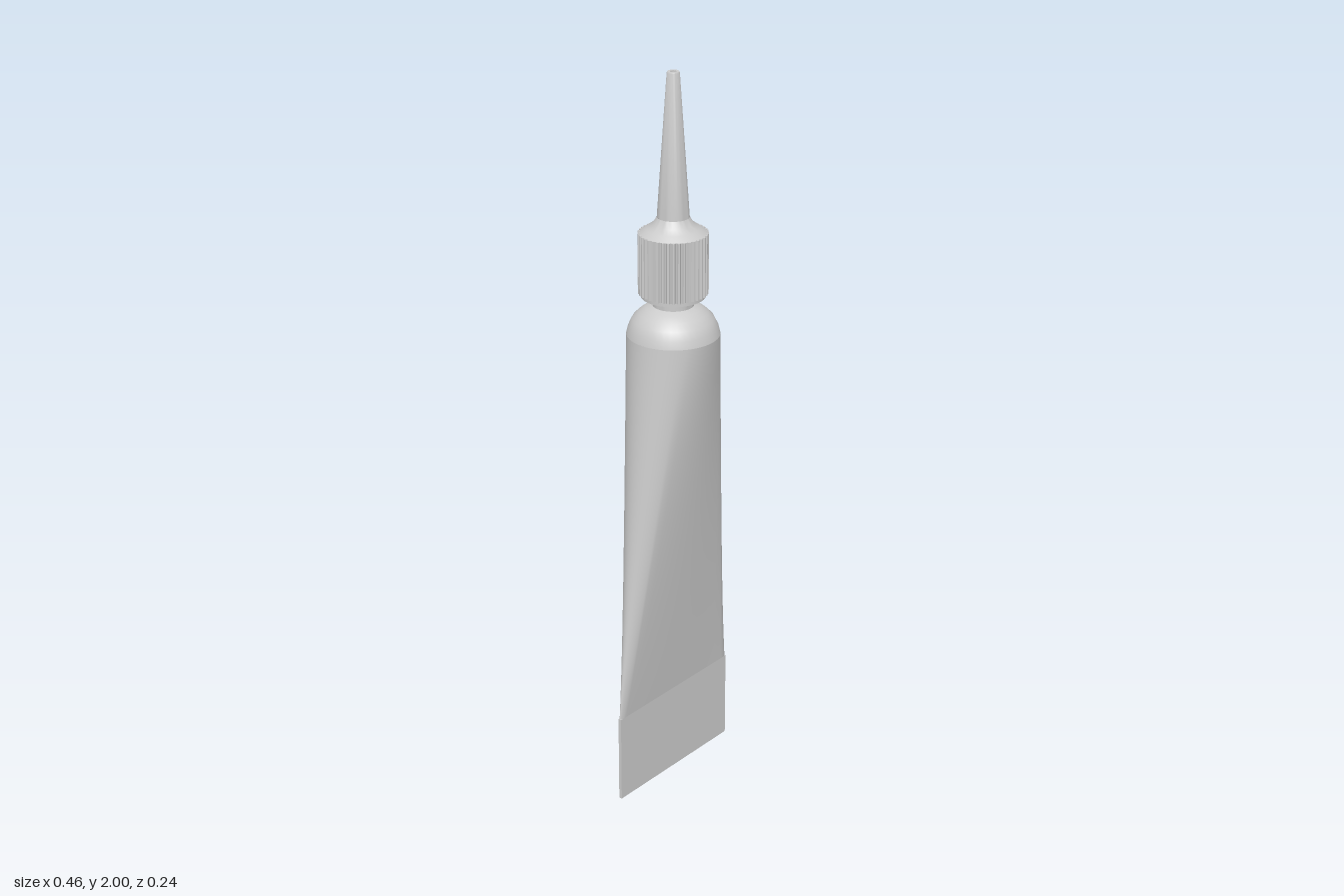
import * as THREE from 'three';
import { mergeVertices, toCreasedNormals } from 'three/addons/utils/BufferGeometryUtils.js';

const material = new THREE.MeshStandardMaterial({ color: 0xcccccc, side: THREE.DoubleSide });

function add(group, name, geometry) {
  const mesh = new THREE.Mesh(geometry, material);
  mesh.name = name;
  group.add(mesh);
}

// Turned part from [radius, height] pairs, bottom to top
function turned(profile, segments = 40) {
  const points = profile.map(([r, y]) => new THREE.Vector2(r, y));
  return toCreasedNormals(new THREE.LatheGeometry(points, segments), 0.6);
}

// Tube body: a round top that flattens in straight lines to a thin seam
function bodyGeometry() {
  const top = 1.305, bottom = 0.25, radius = 0.122;
  const geometry = new THREE.CylinderGeometry(1, 1, 1, 64, 12, true);
  geometry.deleteAttribute('normal');
  geometry.deleteAttribute('uv');
  const p = geometry.attributes.position;
  for (let i = 0; i < p.count; i++) {
    const c = p.getX(i), s = p.getZ(i), t = p.getY(i) + 0.5;
    const a = Math.abs(c);
    // the sides of the circle gather into the two ends of the seam
    const flatX = Math.sign(c) * (a < 0.55 ? 0.205 * a / 0.55 : 0.205 + 0.023 * (a - 0.55) / 0.45);
    const flatZ = Math.sign(s) * Math.min(0.005, Math.abs(s) * 0.007);
    p.setXYZ(i,
      THREE.MathUtils.lerp(flatX, radius * c, t),
      THREE.MathUtils.lerp(bottom, top, t),
      THREE.MathUtils.lerp(flatZ, radius * s, t));
  }
  const merged = mergeVertices(geometry);
  merged.computeVertexNormals();
  return merged;
}

// Gripped cap: a toothed outline pulled upward
function gripGeometry(bottom, top) {
  const teeth = 40, shape = new THREE.Shape();
  for (let i = 0; i < teeth; i++) {
    [[0, 0.084], [0.25, 0.091], [0.6, 0.091], [0.85, 0.084]].forEach(([f, r], k) => {
      const angle = (i + f) / teeth * Math.PI * 2;
      const x = r * Math.cos(angle), y = r * Math.sin(angle);
      if (i + k === 0) shape.moveTo(x, y);
      else shape.lineTo(x, y);
    });
  }
  shape.closePath();
  const geometry = new THREE.ExtrudeGeometry(shape, { depth: top - bottom, bevelEnabled: false });
  geometry.rotateX(-Math.PI / 2);
  geometry.translate(0, bottom, 0);
  return geometry;
}

export function createModel() {
  const group = new THREE.Group();
  group.name = 'glueTube';

  // Flat crimped end
  const crimp = new THREE.BoxGeometry(0.456, 0.25, 0.009);
  crimp.translate(0, 0.125, 0);
  add(group, 'crimp', crimp);

  add(group, 'body', bodyGeometry());

  // Rounded shoulder and threaded neck
  add(group, 'shoulder', turned([
    [0.122, 1.305], [0.117, 1.325], [0.106, 1.348], [0.09, 1.364], [0.072, 1.377], [0.054, 1.384],
  ]));
  add(group, 'neck', turned([
    [0.054, 1.38], [0.054, 1.404], [0.062, 1.404], [0.062, 1.43],
  ]));

  // Cap: lip, ribbed grip, sloped top
  add(group, 'capLip', turned([[0.06, 1.408], [0.084, 1.408], [0.084, 1.43]]));
  add(group, 'capGrip', gripGeometry(1.418, 1.58));
  add(group, 'capTop', turned([
    [0.086, 1.58], [0.07, 1.592], [0.052, 1.604], [0.042, 1.622],
  ]));

  // Tapered nozzle with a small opening
  add(group, 'nozzle', turned([
    [0.042, 1.622], [0.0165, 1.997], [0.015, 2], [0.008, 2], [0.008, 1.95], [0, 1.95],
  ], 32));

  return group;
}
